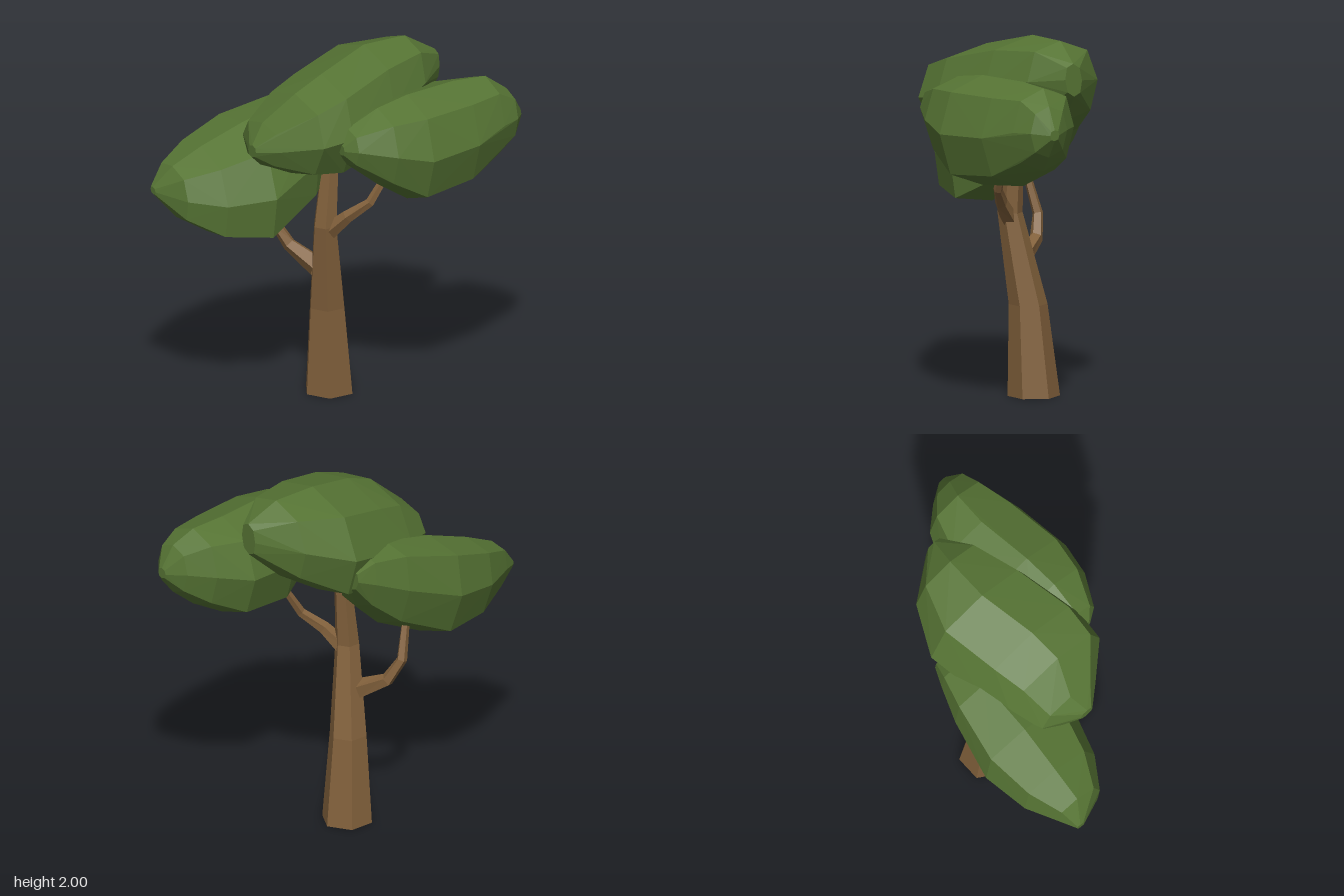
import * as THREE from 'three';
import { ConvexGeometry } from 'three/addons/geometries/ConvexGeometry.js';

const bark = new THREE.MeshStandardMaterial({ color: 0x81603b, side: THREE.DoubleSide });
bark.name = 'bark brown';
const leaf = new THREE.MeshStandardMaterial({ color: 0x567434 });
leaf.name = 'leaf green';

// Tapered open-ended limb through [x, y, z, radius] stations; rings follow the path or stay level
function limb(name, stations, sides, level) {
  const centres = stations.map(([x, y, z]) => new THREE.Vector3(x, y, z));
  const up = new THREE.Vector3(0, 1, 0);
  const last = stations.length - 1;
  const rings = centres.map((c, i) => {
    const dir = centres[Math.min(i + 1, last)].clone().sub(centres[Math.max(i - 1, 0)]).normalize();
    const turn = new THREE.Quaternion().setFromUnitVectors(up, level ? up : dir);
    return Array.from({ length: sides }, (_, j) => {
      const a = (j / sides) * Math.PI * 2;
      return new THREE.Vector3(Math.cos(a), 0, -Math.sin(a))
        .multiplyScalar(stations[i][3]).applyQuaternion(turn).add(c);
    });
  });
  const tris = [];
  for (let j = 0; j < sides; j++) {
    const k = (j + 1) % sides;
    for (let i = 0; i < last; i++) {
      const lo = rings[i], hi = rings[i + 1];
      tris.push(lo[j], lo[k], hi[j], lo[k], hi[k], hi[j]);
    }
    // closed tip
    tris.push(centres[last], rings[last][j], rings[last][k]);
  }
  const geometry = new THREE.BufferGeometry().setFromPoints(tris);
  geometry.computeVertexNormals();
  const mesh = new THREE.Mesh(geometry, bark);
  mesh.name = name;
  return mesh;
}

// Faceted leaf clump: skewed eight-sided sections [x, bottom, top, back, front], wrapped in a hull
function clump(name, sections, fullness, skew) {
  const points = [];
  for (const [x, bottom, top, back, front] of sections) {
    const y = (bottom + top) / 2, h = (top - bottom) / 2;
    const z = (back + front) / 2, d = (front - back) / 2;
    for (let j = 0; j < 8; j++) {
      const a = (j / 8) * Math.PI * 2;
      const r = j % 2 ? fullness : 1;
      const c = r * Math.cos(a), s = r * Math.sin(a);
      points.push(new THREE.Vector3(x, y + h * (s + skew * c), z + d * (c + skew * s)));
    }
  }
  const mesh = new THREE.Mesh(new ConvexGeometry(points), leaf);
  mesh.name = name;
  return mesh;
}

export function createModel() {
  const tree = new THREE.Group();
  tree.name = 'tree';

  // Leaning trunk
  tree.add(limb('trunk', [
    [0.05, 0, -0.175, 0.142],
    [0.025, 0.5, -0.155, 0.105],
    [-0.035, 1.0, -0.078, 0.068],
    [0.005, 1.4, -0.085, 0.048],
    [0.015, 1.5, -0.085, 0.042],
  ], 6, true));

  // Side branches
  tree.add(limb('frontBranch', [
    [-0.02, 0.97, -0.06, 0.05],
    [0.04, 1.07, 0.03, 0.036],
    [0.13, 1.16, 0.115, 0.026],
    [0.23, 1.33, 0.145, 0.02],
  ], 5, false));
  tree.add(limb('backBranch', [
    [-0.04, 0.74, -0.15, 0.06],
    [-0.12, 0.83, -0.31, 0.038],
    [-0.18, 0.95, -0.36, 0.03],
    [-0.24, 1.17, -0.325, 0.022],
  ], 5, false));

  // Leaf clumps
  tree.add(clump('backClump', [
    [-0.95, 1.27, 1.31, -0.39, -0.34],
    [-0.86, 1.15, 1.43, -0.44, -0.15],
    [-0.68, 1.04, 1.51, -0.53, -0.03],
    [-0.42, 1.0, 1.6, -0.58, 0.05],
    [-0.1, 1.16, 1.67, -0.52, -0.04],
    [0.08, 1.33, 1.66, -0.46, -0.15],
    [0.18, 1.48, 1.6, -0.42, -0.28],
  ], 1.12, -0.12));
  tree.add(clump('topClump', [
    [-0.56, 1.53, 1.6, -0.02, 0.06],
    [-0.47, 1.45, 1.7, -0.22, 0.16],
    [-0.3, 1.38, 1.85, -0.3, 0.34],
    [-0.12, 1.34, 1.92, -0.36, 0.35],
    [0.2, 1.4, 2.0, -0.43, 0.26],
    [0.46, 1.56, 2.0, -0.31, 0.15],
    [0.63, 1.72, 1.9, -0.09, 0.02],
  ], 1.06, 0.06));
  tree.add(clump('frontClump', [
    [-0.19, 1.57, 1.63, 0.3, 0.37],
    [-0.14, 1.5, 1.71, 0.2, 0.44],
    [0.05, 1.35, 1.79, 0.1, 0.54],
    [0.25, 1.22, 1.82, 0.02, 0.58],
    [0.57, 1.25, 1.82, -0.02, 0.53],
    [0.77, 1.36, 1.81, 0.06, 0.46],
    [0.88, 1.45, 1.73, 0.18, 0.42],
    [0.95, 1.55, 1.61, 0.28, 0.34],
  ], 1.06, 0));

  return tree;
}
